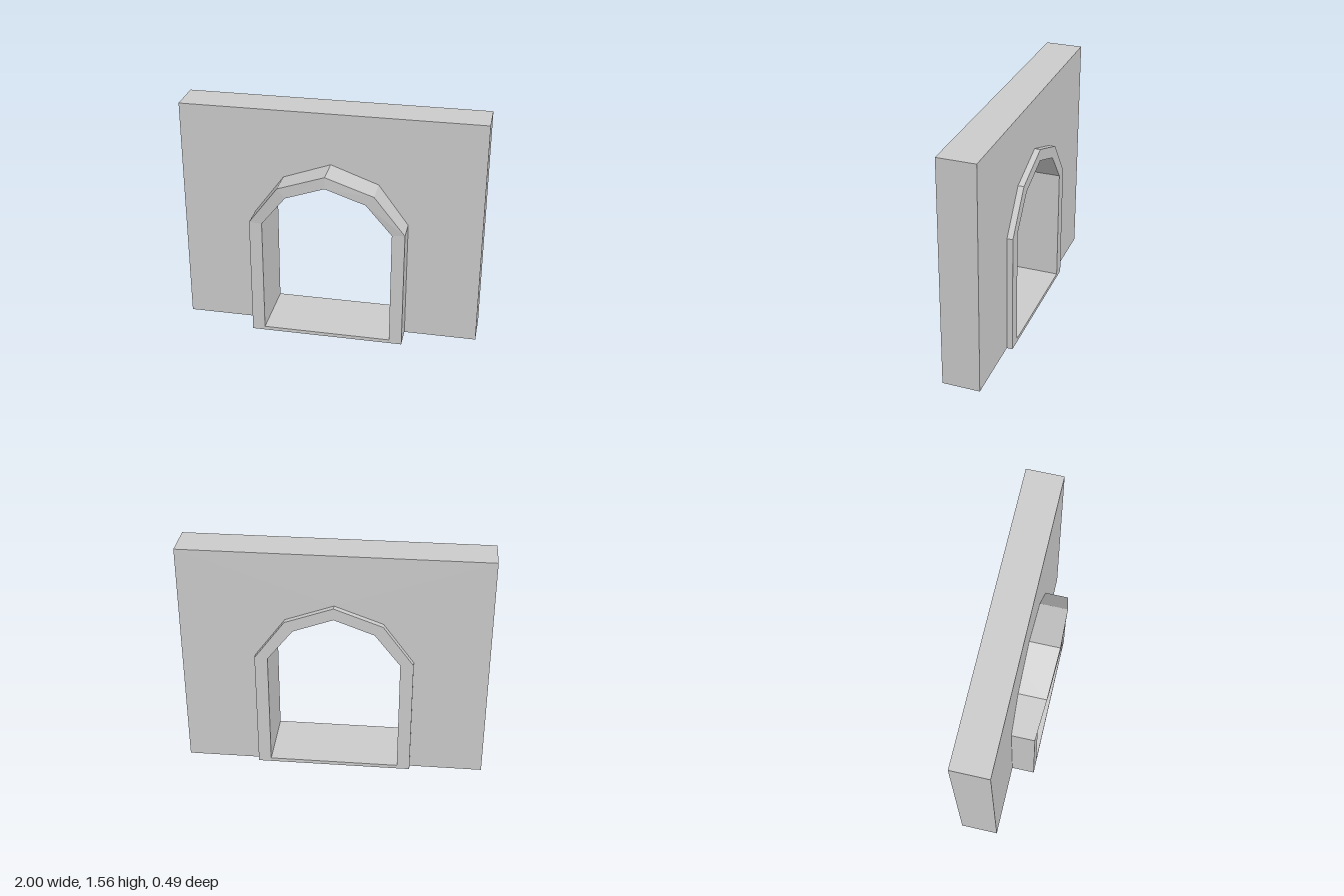
import * as THREE from 'three';

// Half outlines of the arch: [x, y, front z], from the floor up to the apex
const OUTER_HALF = [[0.515, 0, 0.2], [0.515, 0.825, 0.2], [0.315, 1.097, 0.23], [0, 1.212, 0.245]];
const INNER_HALF = [[0.43, 0.025, 0.2], [0.43, 0.82, 0.2], [0.262, 1.035, 0.23], [0, 1.132, 0.245]];
const FRAME_BACK = -0.245;

// Mirrors a half outline into a full one, counter-clockwise seen from the front
function mirrorOutline(half) {
  const left = half.slice(0, -1).reverse().map(([x, y, z]) => [-x, y, z]);
  return [...half, ...left];
}

// Closed ring of faces: front, inner lining, back and outer side, including the sill
function frameGeometry() {
  const outer = mirrorOutline(OUTER_HALF);
  const inner = mirrorOutline(INNER_HALF);
  const back = ([x, y]) => [x, y, FRAME_BACK];
  const positions = [];
  const quad = (a, b, c, d) => positions.push(...a, ...b, ...c, ...a, ...c, ...d);
  for (let i = 0; i < outer.length; i++) {
    const j = (i + 1) % outer.length;
    const [o0, o1, i0, i1] = [outer[i], outer[j], inner[i], inner[j]];
    quad(o0, o1, i1, i0);
    quad(i0, i1, back(i1), back(i0));
    quad(back(i0), back(i1), back(o1), back(o0));
    quad(back(o0), back(o1), o1, o0);
  }
  const geometry = new THREE.BufferGeometry();
  geometry.setAttribute('position', new THREE.Float32BufferAttribute(positions, 3));
  geometry.computeVertexNormals();
  return geometry;
}

// Wall slab, cut out to receive the frame
function wallGeometry() {
  const notch = mirrorOutline(OUTER_HALF).reverse();
  const outline = [[-1, 0], ...notch, [1, 0], [1, 1.56], [-1, 1.56]];
  const shape = new THREE.Shape(outline.map(([x, y]) => new THREE.Vector2(x, y)));
  const geometry = new THREE.ExtrudeGeometry(shape, { depth: 0.25, bevelEnabled: false });
  return geometry.translate(0, 0, -0.206);
}

export function createModel() {
  const model = new THREE.Group();
  model.name = 'archwayWall';
  const material = new THREE.MeshStandardMaterial({ color: 0xcccccc, flatShading: true });

  const wall = new THREE.Mesh(wallGeometry(), material);
  wall.name = 'wall';
  const frame = new THREE.Mesh(frameGeometry(), material);
  frame.name = 'archFrame';

  model.add(wall, frame);
  return model;
}
